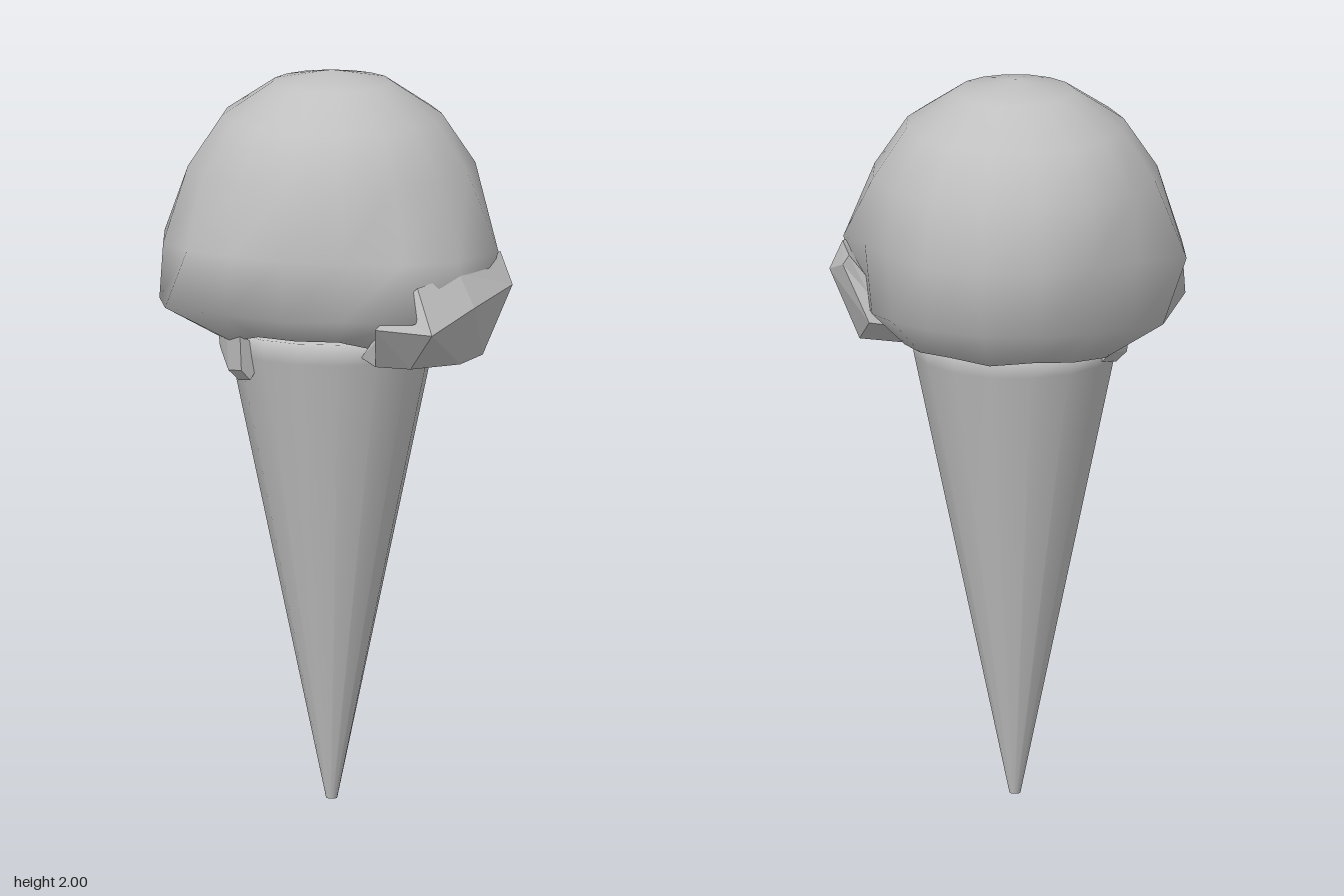
import * as THREE from 'three';

const AXIS_X = -0.02; // the cone and scoop stand slightly off centre
const grey = new THREE.MeshStandardMaterial({ color: 0xc0c0c0 });
grey.name = 'plainGrey';

// Skin a list of equal loops, closing each end on a point (default: loop centre).
function loft(name, rings, { start, end, faceted = false } = {}) {
  const n = rings[0].length;
  const centre = (r) => [0, 1, 2].map((k) => r.reduce((s, p) => s + p[k], 0) / n);
  const last = rings.length - 1;
  const points = [...rings.flat(), start || centre(rings[0]), end || centre(rings[last])];
  const s = rings.length * n;
  const index = [];
  for (let j = 0; j < n; j++) {
    const k = (j + 1) % n;
    for (let i = 0; i < last; i++) {
      const a = i * n + j, b = i * n + k;
      index.push(a, a + n, b, b, a + n, b + n);
    }
    index.push(s, j, k, s + 1, last * n + k, last * n + j);
  }
  let geometry = new THREE.BufferGeometry();
  geometry.setAttribute('position', new THREE.Float32BufferAttribute(points.flat(), 3));
  geometry.setIndex(index);
  if (faceted) geometry = geometry.toNonIndexed();
  geometry.computeVertexNormals();
  const mesh = new THREE.Mesh(geometry, grey);
  mesh.name = name;
  return mesh;
}

// Point at an angle around the cone axis, 0 degrees facing the front.
const polar = (deg, r, y) => {
  const a = THREE.MathUtils.degToRad(deg);
  return [AXIS_X + Math.sin(a) * r, y, Math.cos(a) * r];
};

const SIDES = 16;
// Ring from radius and height functions; m runs 0 (front) to 8 (back) on both sides.
const ring = (r, y) => Array.from({ length: SIDES }, (_, j) => {
  const m = Math.min(j, SIDES - j);
  return polar(j * 360 / SIDES, r(m), y(m));
});

function makeCone() {
  const level = (r, y) => ring(() => r, () => y);
  return loft('cone', [level(0.285, 1.3), level(0.275, 1.24), level(0.015, 0)]);
}

function makeScoop() {
  const rings = [];
  // Round dome
  for (const t of [22.5, 45, 67.5]) {
    const a = THREE.MathUtils.degToRad(t);
    rings.push(ring(() => 0.42 * Math.sin(a), () => 1.58 + 0.42 * Math.cos(a)));
  }
  // Sagging belly with bulges at the sides and front corners
  const bellyR = [0.42, 0.42, 0.435, 0.455, 0.475, 0.41, 0.405, 0.42, 0.42];
  const bellyY = [1.55, 1.55, 1.54, 1.53, 1.53, 1.56, 1.57, 1.57, 1.57];
  const lowR = [0.40, 0.43, 0.50, 0.465, 0.41, 0.39, 0.39, 0.40, 0.40];
  const lowY = [1.38, 1.39, 1.39, 1.38, 1.34, 1.36, 1.38, 1.39, 1.39];
  const hemY = [1.31, 1.31, 1.28, 1.27, 1.27, 1.27, 1.28, 1.29, 1.28];
  rings.push(ring((m) => bellyR[m], (m) => bellyY[m]));
  rings.push(ring((m) => lowR[m], (m) => lowY[m]));
  rings.push(ring(() => 0.30, (m) => hemY[m]));
  rings.push(ring(() => 0.25, () => 1.32));
  return loft('scoop', rings, { start: [AXIS_X, 2, 0] });
}

// Chunky overhang on the left side: top, outer, lower and inner corners per section
function makeOverhang() {
  return loft('overhang', [
    [[0.42, 1.50, -0.08], [0.44, 1.47, -0.07], [0.36, 1.32, -0.10], [0.25, 1.31, -0.09]],
    [[0.45, 1.526, -0.03], [0.49, 1.44, -0.015], [0.41, 1.245, 0], [0.23, 1.24, 0]],
    [[0.40, 1.50, 0.17], [0.45, 1.41, 0.185], [0.38, 1.235, 0.10], [0.20, 1.225, 0.08]],
    [[0.33, 1.48, 0.31], [0.385, 1.36, 0.35], [0.30, 1.25, 0.28], [0.16, 1.24, 0.20]],
    [[0.27, 1.42, 0.34], [0.23, 1.37, 0.37], [0.20, 1.25, 0.28], [0.14, 1.26, 0.22]],
  ], { faceted: true });
}

// Small drip wrapping the cone's right side: angle and lowest height per section
function makeDrip() {
  const sections = [[-108, 1.25], [-85, 1.22], [-62, 1.22], [-47, 1.17], [-34, 1.18]];
  return loft('drip', sections.map(([deg, y]) => [
    polar(deg, 0.31, 1.31), polar(deg, 0.22, 1.25), polar(deg, 0.275, y), polar(deg, 0.305, y + 0.03),
  ]), { faceted: true });
}

export function createModel() {
  const model = new THREE.Group();
  model.name = 'iceCreamCone';
  model.add(makeCone(), makeScoop(), makeOverhang(), makeDrip());
  return model;
}
